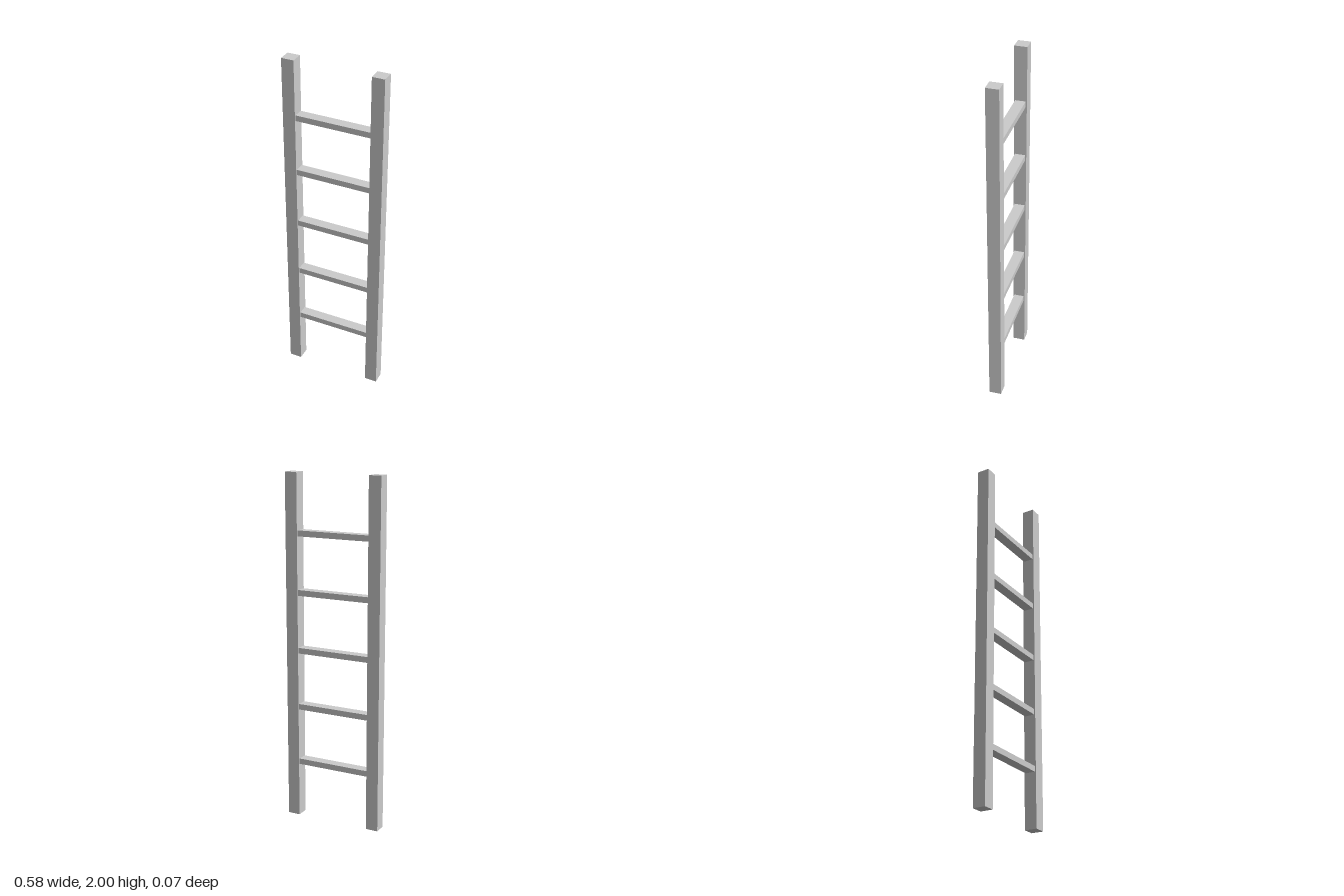
import * as THREE from 'three';

const HEIGHT = 2, RAIL = 0.072, HALF_WIDTH = 0.29;
const RUNGS = 5, RUNG_HEIGHT = 0.033, RUNG_DEPTH = 0.059;

export function createModel() {
  const ladder = new THREE.Group();
  ladder.name = 'ladder';
  const material = new THREE.MeshStandardMaterial({ color: 0xcccccc, flatShading: true });

  const addBox = (name, [w, h, d], x, y) => {
    const mesh = new THREE.Mesh(new THREE.BoxGeometry(w, h, d), material);
    mesh.name = name;
    mesh.position.set(x, y, 0);
    ladder.add(mesh);
  };

  // Square upright rails
  const railX = HALF_WIDTH - RAIL / 2;
  addBox('leftRail', [RAIL, HEIGHT, RAIL], railX, HEIGHT / 2);
  addBox('rightRail', [RAIL, HEIGHT, RAIL], -railX, HEIGHT / 2);

  // Flat rungs, evenly spaced between the rails' inner faces
  const rungLength = 2 * (HALF_WIDTH - RAIL);
  for (let i = 1; i <= RUNGS; i++) {
    addBox(`rung${i}`, [rungLength, RUNG_HEIGHT, RUNG_DEPTH], 0, (HEIGHT * i) / (RUNGS + 1));
  }
  return ladder;
}
